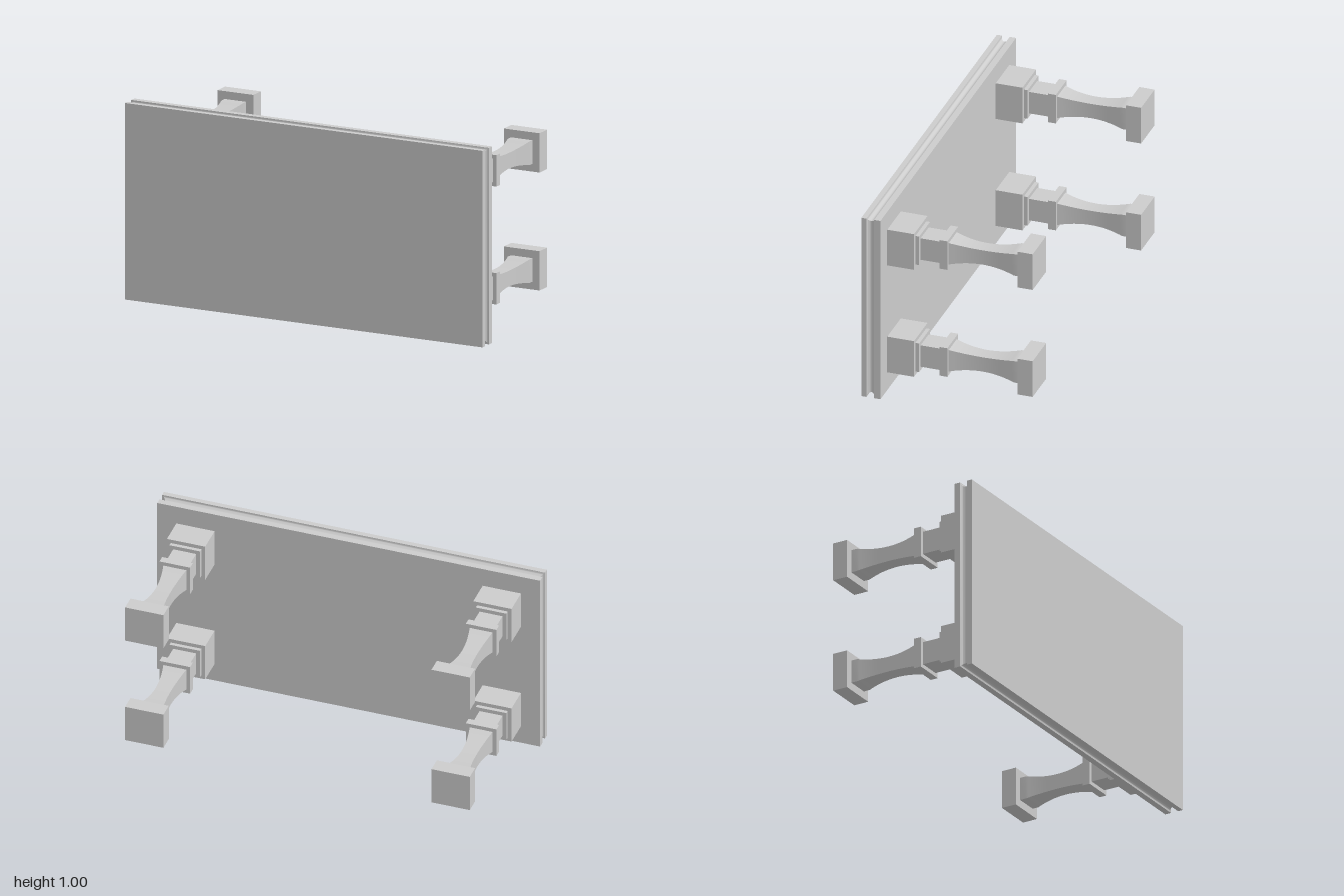
import * as THREE from 'three';
import { toCreasedNormals } from 'three/addons/utils/BufferGeometryUtils.js';

const material = new THREE.MeshStandardMaterial({ color: 0xcccccc });

// Closed loft of rectangles along z; each section is [z, halfWidth, halfHeight], z rising.
function loft(sections) {
  const positions = [];
  const index = [];
  for (const [z, w, h] of sections) {
    positions.push(w, h, z, -w, h, z, -w, -h, z, w, -h, z);
  }
  for (let i = 0; i < sections.length - 1; i++) {
    for (let j = 0; j < 4; j++) {
      const a = i * 4 + j, b = i * 4 + (j + 1) % 4;
      index.push(a, b, b + 4, a, b + 4, a + 4);
    }
  }
  const n = (sections.length - 1) * 4;
  index.push(2, 1, 0, 3, 2, 0, n, n + 1, n + 2, n, n + 2, n + 3);
  const geometry = new THREE.BufferGeometry();
  geometry.setAttribute('position', new THREE.Float32BufferAttribute(positions, 3));
  geometry.setIndex(index);
  return toCreasedNormals(geometry, 0.5);
}

function block(z0, z1, half) {
  return new THREE.BoxGeometry(half * 2, half * 2, z1 - z0).translate(0, 0, (z0 + z1) / 2);
}

// Slab with a half-round groove running around its edge
function tabletopGeometry() {
  const sections = [[0.33, 1, 0.5]];
  const radius = 0.02, steps = 16;
  for (let i = 0; i <= steps; i++) {
    const t = (i / steps) * Math.PI;
    const inset = radius * Math.sin(t);
    sections.push([0.383 - radius * Math.cos(t), 1 - inset, 0.5 - inset]);
  }
  sections.push([0.43, 1, 0.5]);
  return loft(sections);
}

// Square shaft with four concave sides
function shaftGeometry() {
  const sections = [[-0.35, 0.06, 0.06]];
  const middle = -0.147, reach = 0.17, steps = 24;
  for (let i = 0; i <= steps; i++) {
    const u = (i / steps) * 2 - 1;
    const half = 0.04 + 0.02 * u * u;
    sections.push([middle + reach * u, half, half]);
  }
  return loft(sections);
}

export function createModel() {
  const model = new THREE.Group();
  model.name = 'table';

  const add = (parent, name, geometry) => {
    const mesh = new THREE.Mesh(geometry, material);
    mesh.name = name;
    parent.add(mesh);
  };

  add(model, 'tabletop', tabletopGeometry());

  // Leg parts, from the foot up to the tabletop
  const legParts = {
    foot: block(-0.43, -0.35, 0.1),
    shaft: shaftGeometry(),
    collar: block(0.023, 0.063, 0.08),
    neck: block(0.063, 0.17, 0.06),
    neckRing: block(0.17, 0.19, 0.08),
    topBlock: block(0.19, 0.33, 0.1),
  };

  for (const [side, x] of [['left', 0.8], ['right', -0.8]]) {
    for (const [level, y] of [['Upper', 0.3], ['Lower', -0.3]]) {
      const leg = new THREE.Group();
      leg.name = `${side}${level}Leg`;
      leg.position.set(x, y, 0);
      for (const [name, geometry] of Object.entries(legParts)) add(leg, name, geometry);
      model.add(leg);
    }
  }

  // The table rests on its long edge
  model.position.y = 0.5;
  const root = new THREE.Group();
  root.name = 'tableOnItsSide';
  root.add(model);
  return root;
}
